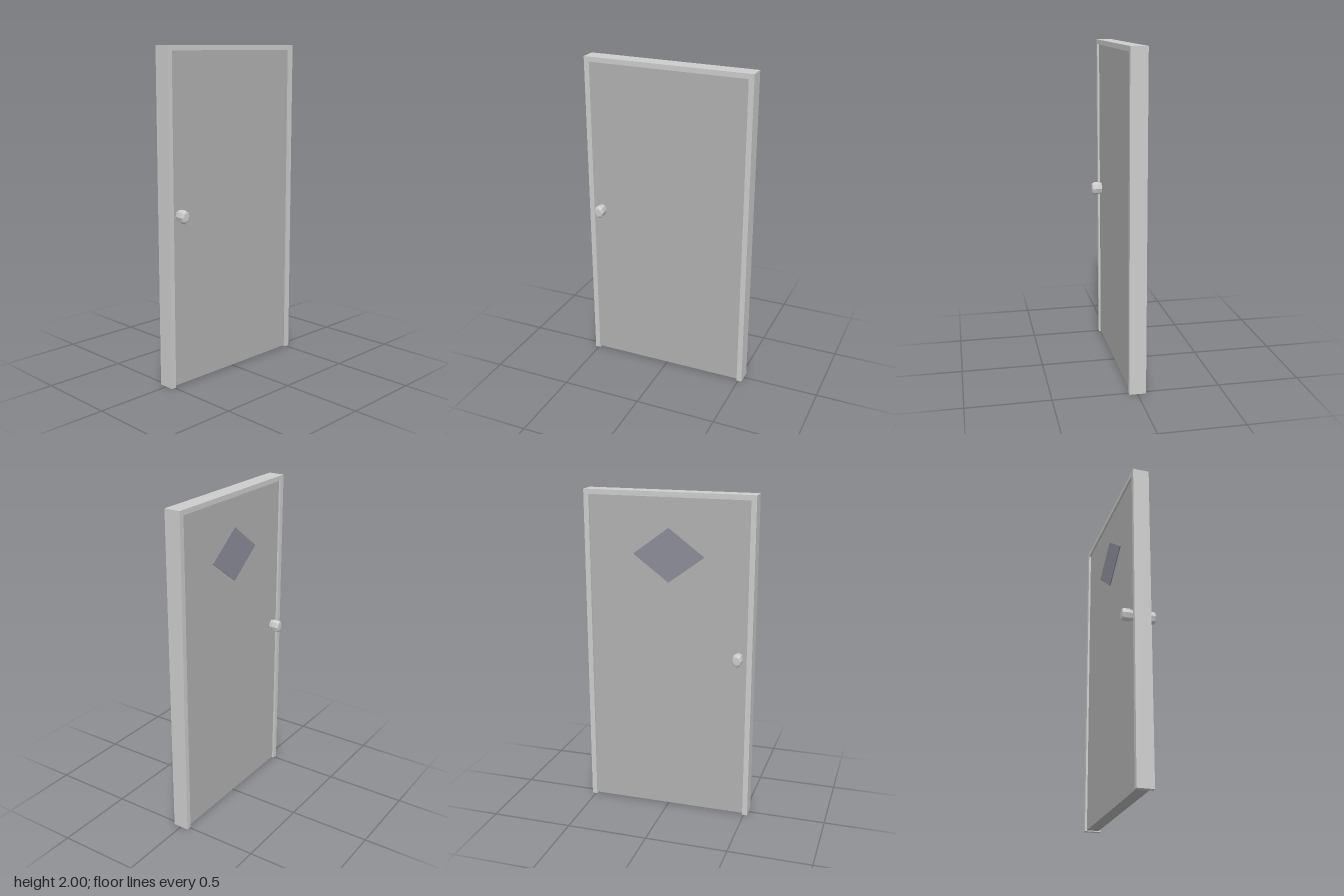
import * as THREE from 'three';

const mat = (name, color) => {
  const m = new THREE.MeshStandardMaterial({ color });
  m.name = name;
  return m;
};

export function createModel() {
  const model = new THREE.Group();
  model.name = 'door';
  const frameGrey = mat('frameGrey', 0xcccccc);
  const panelGrey = mat('panelGrey', 0xb0b0b0);
  const signGrey = mat('signGrey', 0x8c8c99);
  const knobGrey = mat('knobGrey', 0xcccccc);
  knobGrey.flatShading = true;

  const add = (name, geometry, material, x = 0, y = 0, z = 0) => {
    const mesh = new THREE.Mesh(geometry, material);
    mesh.name = name;
    mesh.position.set(x, y, z);
    model.add(mesh);
    return mesh;
  };

  // Extrudes a (z, y) outline along x, centred on x = 0
  const slab = (points, thickness) => {
    const shape = new THREE.Shape(points.map(([z, y]) => new THREE.Vector2(z, y)));
    return new THREE.ExtrudeGeometry(shape, { depth: thickness, bevelEnabled: false })
      .translate(0, 0, -thickness / 2)
      .rotateY(-Math.PI / 2);
  };

  // Frame: two jambs and a header in one outline, open at the floor
  const W = 0.523, w = 0.491, H = 2, h = 1.97;
  add('frame', slab([[-W, 0], [-w, 0], [-w, h], [w, h], [w, 0], [W, 0], [W, H], [-W, H]], 0.1), frameGrey);

  // Recessed door leaf
  const leafHalf = 0.0375;
  add('doorLeaf', new THREE.BoxGeometry(leafHalf * 2, h - 0.006, w * 2), panelGrey, 0, (h + 0.006) / 2, 0);

  // Diamond sign on the -x face
  add('sign', slab([[0, -0.163], [0.22, 0], [0, 0.163], [-0.22, 0]], 0.006), signGrey,
    -leafHalf - 0.003, 1.628, 0.002);

  // Oval eight-sided knobs on both faces: [radius factor, distance from x = 0]
  const profile = [[0.85, leafHalf - 0.005], [0.9, 0.05], [1, 0.058], [1, 0.088], [0.85, 0.098], [0.6, 0.102], [0, 0.102]]
    .map(([r, d]) => new THREE.Vector2(r, d));
  for (const side of [1, -1]) {
    const knob = new THREE.LatheGeometry(profile, 8)
      .scale(0.041, 1, 0.032)
      .rotateZ(-side * Math.PI / 2);
    add(side > 0 ? 'leftKnob' : 'rightKnob', knob, knobGrey, 0, 1.032, 0.44);
  }

  return model;
}
